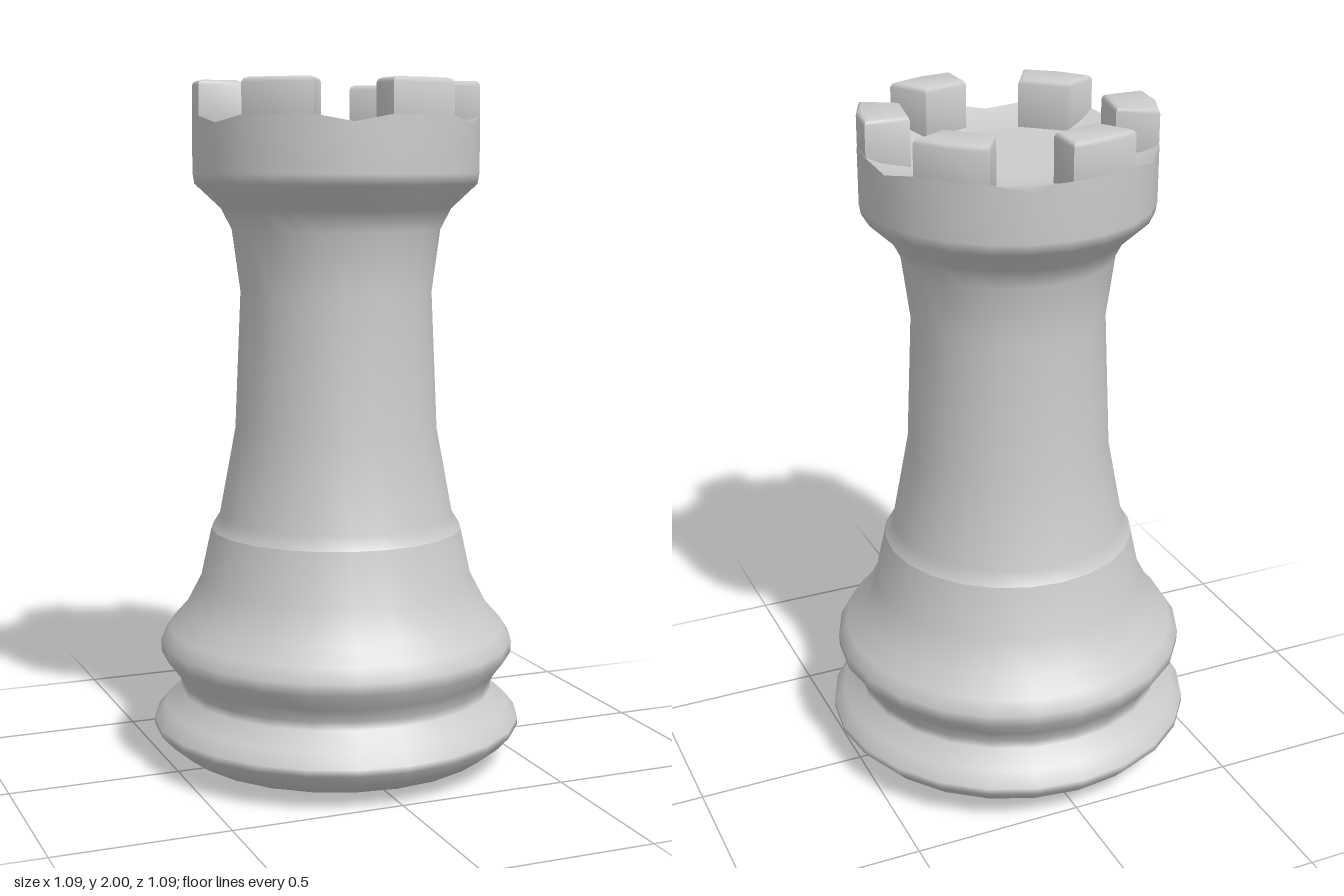
import * as THREE from 'three';
import { toCreasedNormals } from 'three/addons/utils/BufferGeometryUtils.js';

const SIDES = 24;
const RIM_R = 0.415, RIM_Y = 1.9, FLOOR_Y = 1.86;

export function createModel() {
  const group = new THREE.Group();
  const material = new THREE.MeshStandardMaterial({ color: 0xcccccc });

  const add = (name, geometry) => {
    const mesh = new THREE.Mesh(geometry, material);
    mesh.name = name;
    group.add(mesh);
    return mesh;
  };
  const lathe = (points) =>
    new THREE.LatheGeometry(points.map(([r, y]) => new THREE.Vector2(r, y)), SIDES);

  // Lower the rim a little in the middle of each gap
  const dipRim = (geometry) => {
    const p = geometry.attributes.position;
    for (let i = 0; i < p.count; i++) {
      if (Math.abs(p.getY(i) - RIM_Y) > 1e-4) continue;
      const deg = THREE.MathUtils.radToDeg(Math.atan2(p.getZ(i), p.getX(i))) + 360;
      if (Math.abs((deg % 60) - 45) < 1) p.setY(i, RIM_Y - 0.02);
    }
    return geometry;
  };

  // Base: foot, waist and flared collar
  add('base', lathe([
    [0, 0], [0.33, 0.01], [0.46, 0.035], [0.51, 0.07], [0.547, 0.11], [0.547, 0.13],
    [0.515, 0.17], [0.465, 0.215], [0.465, 0.24], [0.485, 0.28], [0.523, 0.33],
    [0.525, 0.365], [0.5, 0.405], [0.455, 0.455], [0.405, 0.55], [0.372, 0.7],
  ]));

  // Shaft and the outer wall of the crown
  add('shaft', dipRim(lathe([
    [0.372, 0.7], [0.347, 0.74], [0.298, 1.0], [0.28, 1.4], [0.304, 1.58],
    [0.335, 1.64], [0.41, 1.71], [RIM_R, 1.74], [RIM_R, RIM_Y],
  ])));

  // Sunken floor of the crown
  add('crownFloor', dipRim(lathe([
    [RIM_R, RIM_Y], [0.37, 1.88], [0.29, FLOOR_Y], [0.2, FLOOR_Y], [0, FLOOR_Y],
  ])));

  // Six battlements, each two wall facets wide
  const corner = (r, deg) => {
    const a = THREE.MathUtils.degToRad(deg);
    return new THREE.Vector2(r * Math.cos(a), -r * Math.sin(a));
  };
  const outer = RIM_R - 0.001, bevel = 0.014, bottom = 1.83;
  const shape = new THREE.Shape([
    corner(0.285, 0), corner(outer, 0), corner(outer, 15), corner(outer, 30), corner(0.295, 30),
  ]);
  const block = new THREE.ExtrudeGeometry(shape, {
    depth: 2 - bottom - 2 * bevel,
    bevelSize: bevel, bevelThickness: bevel, bevelOffset: -bevel, bevelSegments: 2,
  });
  block.rotateX(-Math.PI / 2);
  block.translate(0, bottom + bevel, 0);
  const battlement = toCreasedNormals(block, 0.9);
  for (let i = 0; i < 6; i++) {
    add('battlement', battlement).rotation.y = (i * Math.PI) / 3;
  }

  return group;
}
